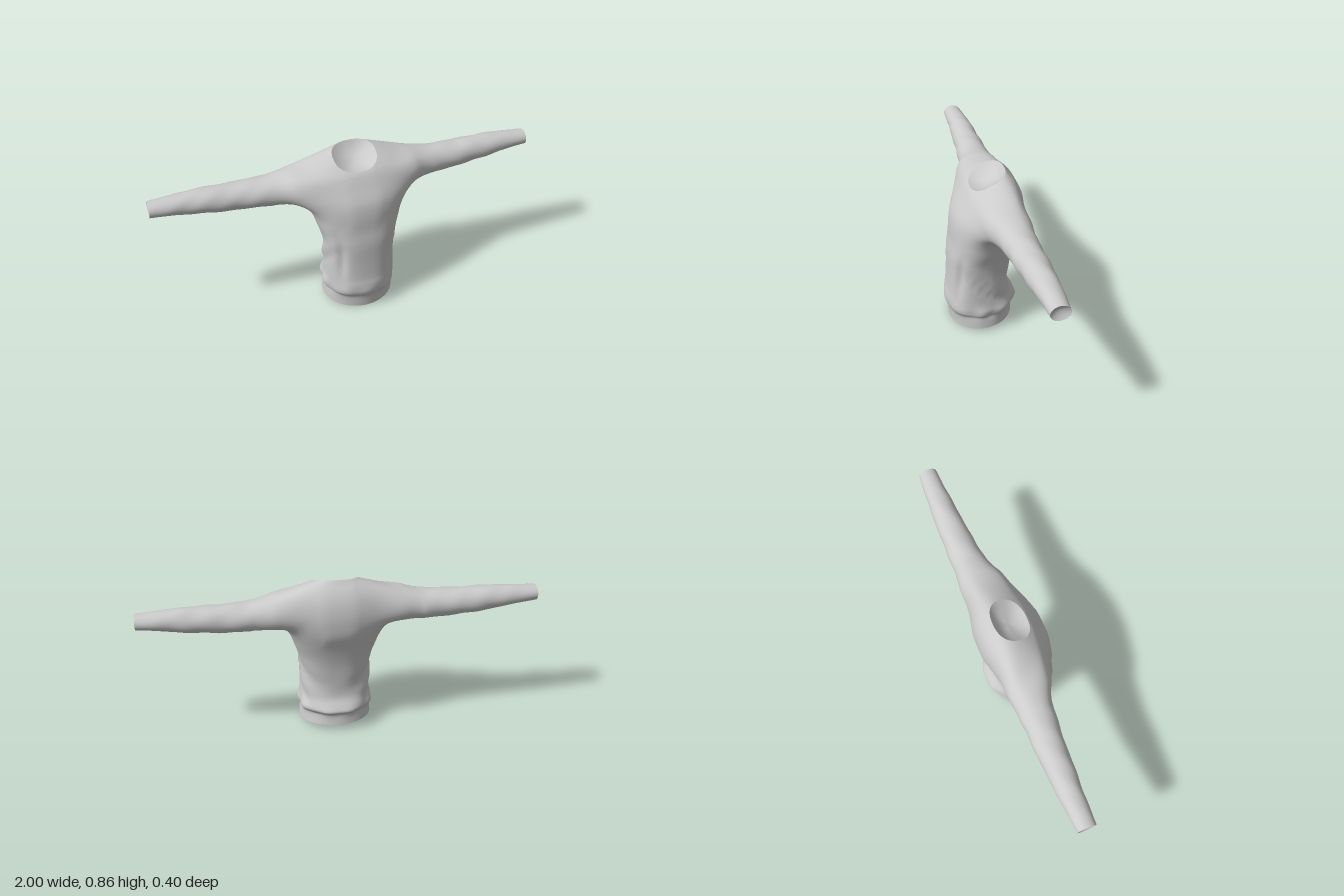
import * as THREE from 'three';

const CX = 0.022; // the body sits slightly towards its left
const COLS = 64, SUB = 3;

// Torso rings, hem to neck: front y, front z, back y, back z, side y, half width, roundness (1 = ellipse)
const TORSO = [
  [0, 0.175, 0.035, -0.155, 0.02, 0.19, 1],
  [0.05, 0.178, 0.07, -0.149, 0.06, 0.187, 1],
  [0.075, 0.183, 0.095, -0.15, 0.085, 0.184, 0.97],
  [0.095, 0.194, 0.11, -0.163, 0.1, 0.191, 0.94],
  [0.12, 0.199, 0.127, -0.175, 0.125, 0.193, 0.92],
  [0.16, 0.195, 0.155, -0.158, 0.155, 0.186, 0.87],
  [0.2, 0.187, 0.2, -0.132, 0.2, 0.182, 0.82],
  [0.3, 0.18, 0.3, -0.132, 0.3, 0.182, 0.78],
  [0.4, 0.177, 0.4, -0.141, 0.4, 0.191, 0.78],
  [0.48, 0.165, 0.5, -0.165, 0.47, 0.211, 0.78],
  [0.56, 0.16, 0.58, -0.195, 0.54, 0.235, 0.77],
  [0.62, 0.149, 0.65, -0.201, 0.59, 0.262, 0.76],
  [0.66, 0.132, 0.7, -0.198, 0.65, 0.27, 0.75],
  [0.7, 0.109, 0.75, -0.187, 0.7, 0.27, 0.75],
  [0.73, 0.092, 0.79, -0.17, 0.75, 0.26, 0.75],
  [0.75, 0.08, 0.82, -0.15, 0.792, 0.23, 0.78],
  [0.765, 0.07, 0.84, -0.132, 0.815, 0.17, 0.82],
  [0.775, 0.06, 0.86, -0.115, 0.828, 0.112, 0.85],
];
const ARM_LOW = 11 * SUB, ARM_HIGH = 15 * SUB, ARM_HALF = 9; // armhole rows and columns

// Sleeve rings, shoulder to cuff: distance, top y, bottom y, front z, back z
const SLEEVE = [
  [0.31, 0.785, 0.602, 0.06, -0.18],
  [0.37, 0.77, 0.606, 0.026, -0.168],
  [0.46, 0.756, 0.61, 0.008, -0.16],
  [0.6, 0.753, 0.616, -0.008, -0.156],
  [0.75, 0.754, 0.63, -0.019, -0.15],
  [0.85, 0.75, 0.645, -0.028, -0.143],
  [0.93, 0.743, 0.656, -0.032, -0.137],
  [1, 0.739, 0.662, -0.036, -0.13],
];

// Smooth interpolation between the rows of a table
function sample(table, u) {
  const i = Math.min(Math.floor(u), table.length - 2), t = u - i;
  const row = (k) => table[Math.max(0, Math.min(table.length - 1, k))];
  return table[i].map((b, c) => {
    const a = row(i - 1)[c], d = row(i + 1)[c], e = row(i + 2)[c];
    return b + 0.5 * t * (d - a + t * (2 * a - 5 * b + 4 * d - e + t * (3 * (b - d) + e - a)));
  });
}

const bump = (v, centre, width) => Math.exp(-(((v - centre) / width) ** 2));
const power = (v, e) => Math.sign(v) * Math.abs(v) ** e;

function torsoPoint(row, col) {
  const [yf, zf, yb, zb, ys, w, e] = sample(TORSO, row / SUB);
  const a = (col / COLS) * Math.PI * 2;
  const c = power(Math.cos(a), e), s = power(Math.sin(a), e);
  // Ring height passes through its front, side and back heights
  const y = ys + (s * (yf - yb)) / 2 + s * s * ((yf + yb) / 2 - ys);
  const z = (zf + zb) / 2 + (s * (zf - zb)) / 2;
  // Folds: drapes falling towards the back, upright creases in front, gathers at the band
  const side = Math.abs(Math.cos(a)), slant = 0.26 + 0.9 * (z + 0.04);
  const drape = side ** 1.2 * bump(y, 0.25, 0.11) *
    (0.008 * bump(y, slant, 0.03) - 0.02 * bump(y, slant + 0.08, 0.04) - 0.009 * bump(y, slant - 0.06, 0.02));
  const crease = s > 0 ? -0.016 * bump(side, 0.66, 0.12) * bump(y, 0.31, 0.11) : 0;
  const gather = 0.004 * Math.sin(a * 9 + Math.sin(a * 4)) * bump(y, 0.11, 0.035) * (0.4 + side);
  const k = drape + crease + gather;
  return [CX + c * (w + k), y, z + s * k];
}

function sleevePoint(u, angle, dir) {
  const [d, top, bottom, front, back] = sample(SLEEVE, u);
  const reach = d * (1 - dir * CX);
  // Slight wrinkles that fade out towards the cuff and shoulder
  const fade = Math.sin((Math.PI * u) / (SLEEVE.length - 1));
  const k = 1 + 0.035 * fade * Math.sin(d * 38 + 2 * Math.sin(angle + dir)) * Math.sin(angle * 2 + d * 9);
  return [
    CX + dir * reach,
    (top + bottom) / 2 + (Math.sin(angle) * k * (top - bottom)) / 2,
    (front + back) / 2 + (Math.cos(angle) * k * (front - back)) / 2,
  ];
}

function toGeometry(points, index) {
  const geometry = new THREE.BufferGeometry();
  geometry.setAttribute('position', new THREE.Float32BufferAttribute(points.flat(), 3));
  geometry.setIndex(index);
  geometry.computeVertexNormals();
  return geometry;
}

// Builds the outer cloth and returns it with the rims of its four openings
function buildCloth() {
  const points = [], index = [];
  const quad = (a, b, aUp, bUp) => index.push(a, aUp, b, b, aUp, bUp);
  const at = (row, col) => row * COLS + ((col + COLS) % COLS);

  // Torso, leaving an armhole open at each side
  const rows = (TORSO.length - 1) * SUB;
  for (let r = 0; r <= rows; r++) for (let c = 0; c < COLS; c++) points.push(torsoPoint(r, c));
  const inArmhole = (r, c) =>
    r >= ARM_LOW && r < ARM_HIGH && (c + ARM_HALF) % (COLS / 2) < 2 * ARM_HALF;
  for (let r = 0; r < rows; r++) for (let c = 0; c < COLS; c++) {
    if (!inArmhole(r, c)) quad(at(r, c), at(r, c + 1), at(r + 1, c), at(r + 1, c + 1));
  }
  const hem = points.slice(0, COLS), neck = points.slice(rows * COLS);
  const neckEnd = points.length, cuffs = [];

  // Sleeves, each grown from the rim of its armhole
  for (const dir of [1, -1]) {
    const mid = dir > 0 ? 0 : COLS / 2, rim = [];
    for (let c = -ARM_HALF; c < ARM_HALF; c++) rim.push(at(ARM_LOW, mid + c));
    for (let r = ARM_LOW; r < ARM_HIGH; r++) rim.push(at(r, mid + ARM_HALF));
    for (let c = ARM_HALF; c > -ARM_HALF; c--) rim.push(at(ARM_HIGH, mid + c));
    for (let r = ARM_HIGH; r > ARM_LOW; r--) rim.push(at(r, mid - ARM_HALF));
    const angles = rim.map((i) => Math.atan2((points[i][1] - 0.69) / 0.1, (points[i][2] + 0.045) / 0.12));
    let last = rim;
    const addRing = (make) => {
      const ring = rim.map((_, j) => points.push(make(j)) - 1);
      ring.forEach((p, j) => {
        const n = (j + 1) % ring.length;
        quad(last[j], last[n], p, ring[n]);
      });
      last = ring;
    };
    // Bridge from rim to first sleeve ring
    for (const t of [0.25, 0.5, 0.75]) {
      addRing((j) => {
        const end = sleevePoint(0, angles[j], dir);
        return points[rim[j]].map((v, k) => v + (end[k] - v) * t);
      });
    }
    const steps = (SLEEVE.length - 1) * 6;
    for (let s = 0; s <= steps; s++) addRing((j) => sleevePoint(s / 6, angles[j], dir));
    cuffs.push(last.map((i) => points[i]));
  }

  // Relax the shoulders and underarms so sleeve and torso flow together
  const near = points.map(() => new Set());
  for (let i = 0; i < index.length; i += 3) {
    const t = index.slice(i, i + 3);
    t.forEach((a) => t.forEach((b) => a !== b && near[a].add(b)));
  }
  const soft = points.map(([x, y], i) => {
    const d = Math.abs(x - CX), onNeck = i >= neckEnd - COLS && i < neckEnd;
    return near[i].size > 0 && !onNeck && d > 0.08 && d < 0.42 && y > 0.5;
  });
  for (let pass = 0; pass < 10; pass++) {
    const old = points.map((p) => p.slice());
    points.forEach((p, i) => {
      if (!soft[i]) return;
      for (let k = 0; k < 3; k++) {
        let sum = 0;
        for (const n of near[i]) sum += old[n][k];
        p[k] = 0.4 * old[i][k] + (0.6 * sum) / near[i].size;
      }
    });
  }
  return { geometry: toGeometry(points, index), hem, neck, cuffs };
}

// Shallow bowl closing an opening, sunk inwards by the given vector
function bowlGeometry(rim, sink) {
  const n = rim.length, rings = 8, points = [], index = [];
  const centre = [0, 1, 2].map((k) => rim.reduce((sum, p) => sum + p[k], 0) / n);
  for (let r = 0; r < rings; r++) {
    const f = 1 - r / rings;
    for (const p of rim) points.push(p.map((v, k) => centre[k] + (v - centre[k]) * f + sink[k] * (1 - f * f)));
  }
  const tip = points.push(centre.map((v, k) => v + sink[k])) - 1;
  for (let r = 0; r < rings; r++) for (let j = 0; j < n; j++) {
    const a = r * n + j, b = r * n + ((j + 1) % n);
    if (r === rings - 1) index.push(a, tip, b);
    else index.push(a, a + n, b, b, a + n, b + n);
  }
  return toGeometry(points, index);
}

export function createModel() {
  const group = new THREE.Group();
  group.name = 'sweater';
  const material = new THREE.MeshStandardMaterial({ color: 0xcccccc, side: THREE.DoubleSide });
  const add = (name, geometry) => {
    const mesh = new THREE.Mesh(geometry, material);
    mesh.name = name;
    group.add(mesh);
  };
  const { geometry, hem, neck, cuffs } = buildCloth();
  add('torsoAndSleeves', geometry);
  add('neckLining', bowlGeometry(neck, [0, -0.035, -0.015]));
  add('hemLining', bowlGeometry(hem, [0, 0.035, 0]));
  add('leftCuffLining', bowlGeometry(cuffs[0], [-0.015, 0, 0]));
  add('rightCuffLining', bowlGeometry(cuffs[1], [0.015, 0, 0]));
  return group;
}
